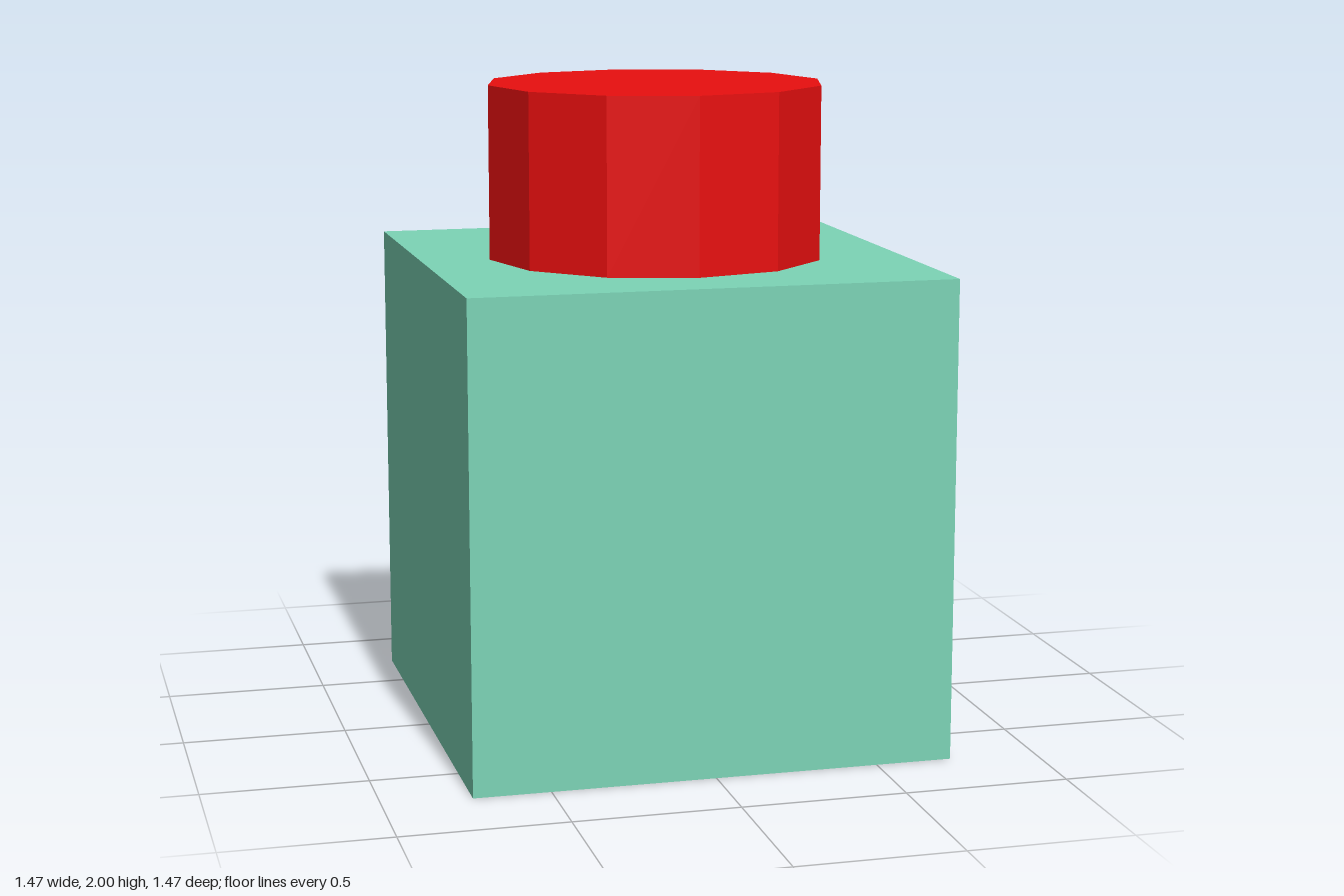
import * as THREE from 'three';

const BODY = 1.467;   // cube edge
const TOTAL = 2;      // overall height
const RADIUS = 0.523; // stud radius
const SIDES = 12;

function addPart(group, name, geometry, color, y) {
  const material = new THREE.MeshStandardMaterial({ color, flatShading: true });
  const mesh = new THREE.Mesh(geometry, material);
  mesh.name = name;
  mesh.position.y = y;
  group.add(mesh);
}

export function createModel() {
  const group = new THREE.Group();
  group.name = 'studdedBlock';

  // Cube body standing on the ground
  addPart(group, 'body', new THREE.BoxGeometry(BODY, BODY, BODY), 0x7cd4b6, BODY / 2);

  // Twelve-sided stud on top, with corners on the x and z axes
  const height = TOTAL - BODY;
  addPart(group, 'stud', new THREE.CylinderGeometry(RADIUS, RADIUS, height, SIDES), 0xe90f0f, BODY + height / 2);

  return group;
}
